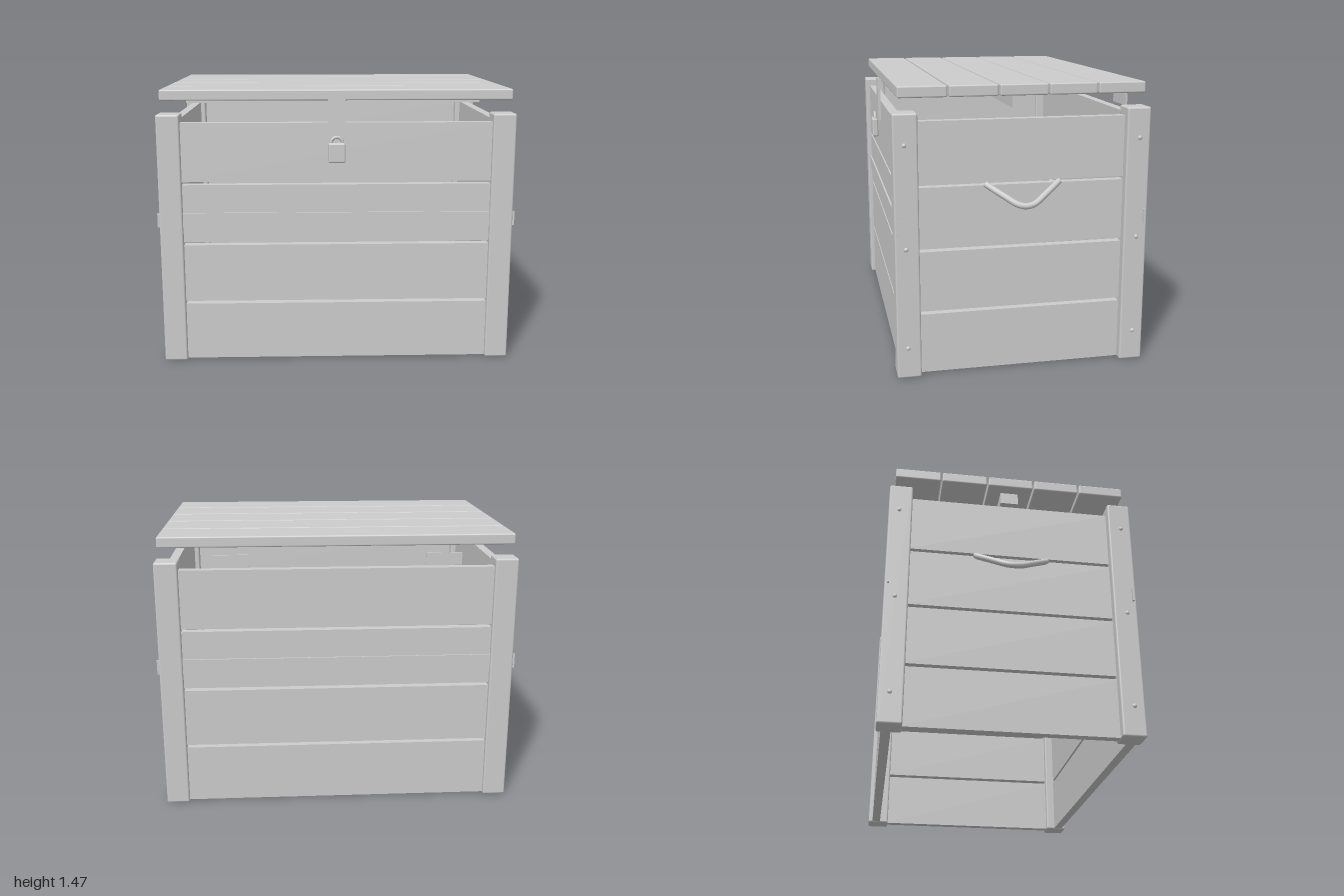
import * as THREE from 'three';
import { RoundedBoxGeometry } from 'three/addons/geometries/RoundedBoxGeometry.js';

export function createModel() {
  const root = new THREE.Group();
  root.name = 'storageChest';
  const grey = new THREE.MeshStandardMaterial({ color: 0xcccccc });
  grey.name = 'plain grey';
  const ZC = -0.012; // middle of the chest body in z

  const add = (name, geometry, x = 0, y = 0, z = 0) => {
    const mesh = new THREE.Mesh(geometry, grey);
    mesh.name = name;
    mesh.position.set(x, y, z);
    root.add(mesh);
    return mesh;
  };
  const box = (name, w, h, d, x, y, z) => add(name, new THREE.BoxGeometry(w, h, d), x, y, z);
  const rounded = (name, w, h, d, r, x, y, z) =>
    add(name, new RoundedBoxGeometry(w, h, d, 2, r), x, y, z);

  // Corner posts with three screws on each outer side
  for (const sx of [-1, 1]) {
    for (const sz of [-1, 1]) {
      rounded('cornerPost', 0.122, 1.343, 0.122, 0.01, sx * 0.877, 0.6715, ZC + sz * 0.587);
      for (const y of [0.16, 0.675, 1.19]) {
        const screw = add('screw', new THREE.SphereGeometry(0.012, 12, 8),
          sx * 0.936, y, ZC + sz * 0.593);
        screw.scale.x = 0.8;
      }
    }
  }

  // Four wall planks on every side
  for (let i = 0; i < 4; i++) {
    const y = 0.161 + i * 0.327;
    for (const s of [-1, 1]) {
      box(s > 0 ? 'frontPlank' : 'backPlank', 1.66, 0.311, 0.048, 0, y, ZC + s * 0.6);
      box('sidePlank', 0.048, 0.311, 1.08, s * 0.869, y, ZC);
    }
  }

  // Thin bands through the posts, front and back
  for (const s of [-1, 1]) box('band', 1.9, 0.076, 0.009, 0, 0.783, ZC + s * 0.629);

  // Lid boards and the batten beneath them
  for (let i = 0; i < 5; i++) {
    rounded('lidBoard', 1.838, 0.057, 0.241, 0.008, 0, 1.441, ZC + (i - 2) * 0.25);
  }
  box('lidBatten', 1.72, 0.068, 0.095, 0, 1.381, ZC);

  // Hinge plates
  for (const s of [-1, 1]) box('hinge', 0.187, 0.062, 0.01, s * 0.547, 1.345, -0.64);

  // Carrying handles
  for (const s of [-1, 1]) {
    const points = [
      [0.889, 0.976, 0.19], [0.945, 0.919, 0.1], [0.977, 0.884, 0.04], [0.984, 0.877, 0],
      [0.977, 0.884, -0.04], [0.945, 0.919, -0.1], [0.889, 0.976, -0.19],
    ].map(([x, y, z]) => new THREE.Vector3(s * x, y, z + ZC));
    const path = new THREE.CatmullRomCurve3(points);
    add('handle', new THREE.TubeGeometry(path, 32, 0.016, 12));
    for (const t of [0, 1]) {
      const cap = add('handleEnd', new THREE.CircleGeometry(0.016, 12));
      cap.position.copy(path.getPoint(t));
      const outward = path.getTangent(t).multiplyScalar(t ? 1 : -1);
      cap.quaternion.setFromUnitVectors(new THREE.Vector3(0, 0, 1), outward);
    }
  }

  // Hasp with padlock
  box('hasp', 0.09, 0.24, 0.014, -0.002, 1.303, 0.62);
  rounded('padlockBody', 0.09, 0.104, 0.032, 0.009, -0.002, 1.144, 0.646);
  add('padlockShackle', new THREE.TorusGeometry(0.03, 0.008, 8, 20, Math.PI), -0.002, 1.195, 0.645);

  return root;
}
